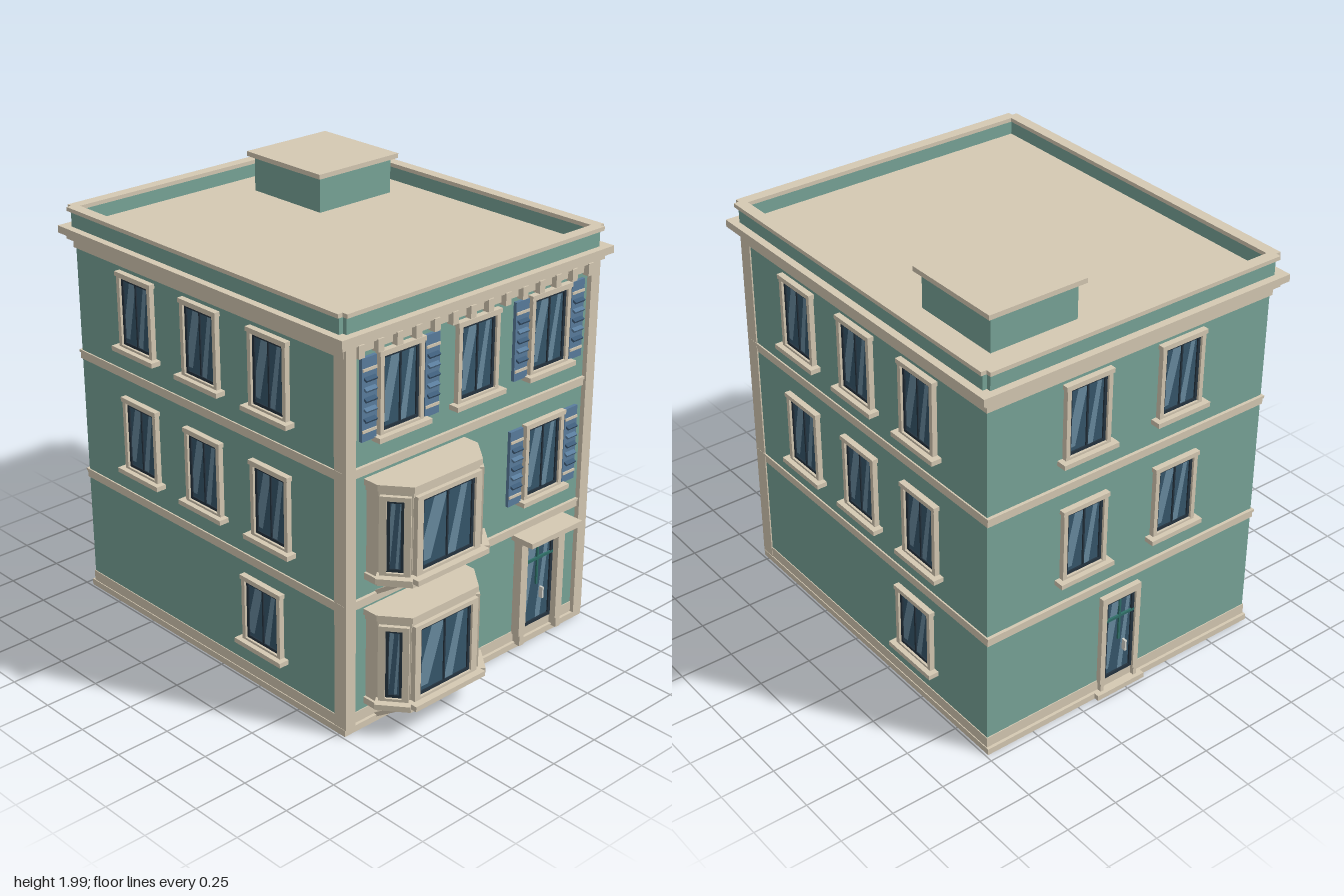
import * as THREE from 'three';

const mat = (c, side = THREE.FrontSide) => new THREE.MeshStandardMaterial({ color: c, side });
const teal = mat(0x78a598), trim = mat(0xd5c9b3), dark = mat(0x24333f), glass = mat(0x36566b),
  shine = mat(0x67899e, THREE.DoubleSide), blue = mat(0x5a7d9d), slate = mat(0x3f5d7a),
  doorGreen = mat(0x2f6f68), metal = mat(0xd8d8d0);
const CZ = -0.09, FRONT = 0.77, BACK = -0.95, SIDE = 0.735;

function add(parent, name, geo, m) {
  const mesh = new THREE.Mesh(geo, m);
  mesh.name = name;
  parent.add(mesh);
  return mesh;
}

// box given by its ranges on each axis
function box(parent, name, m, x0, x1, y0, y1, z0, z1) {
  const b = add(parent, name, new THREE.BoxGeometry(x1 - x0, y1 - y0, z1 - z0), m);
  b.position.set((x0 + x1) / 2, (y0 + y1) / 2, (z0 + z1) / 2);
  return b;
}

// horizontal slab from a plan outline of [x, z] points
function slab(parent, name, m, pts, y0, y1, hole) {
  const v = p => p.map(([x, z]) => new THREE.Vector2(x, -z));
  const s = new THREE.Shape(v(pts));
  if (hole) s.holes.push(new THREE.Path(v(hole)));
  const g = new THREE.ExtrudeGeometry(s, { depth: y1 - y0, bevelEnabled: false });
  g.rotateX(-Math.PI / 2).translate(0, y0, 0);
  return add(parent, name, g, m);
}

// rectangle in plan with small notches cut from its corners
function plan(hx, hz, n = 0) {
  if (!n) return [[-hx, CZ + hz], [hx, CZ + hz], [hx, CZ - hz], [-hx, CZ - hz]];
  return [[-1, 1], [1, 1], [1, -1], [-1, -1]].flatMap(([a, b]) => {
    const c = [[a * (hx - n), CZ + b * hz], [a * (hx - n), CZ + b * (hz - n)], [a * hx, CZ + b * (hz - n)]];
    return a * b > 0 ? c : c.reverse();
  });
}

// upright frame with a rectangular opening w x h, bottom at y = 0
function frame(parent, name, m, w, h, side, top, bottom, depth) {
  const a = w / 2 + side, s = new THREE.Shape();
  s.moveTo(-a, -bottom).lineTo(a, -bottom).lineTo(a, h + top).lineTo(-a, h + top).closePath();
  const o = new THREE.Path();
  o.moveTo(-w / 2, 0).lineTo(-w / 2, h).lineTo(w / 2, h).lineTo(w / 2, 0).closePath();
  s.holes.push(o);
  return add(parent, name, new THREE.ExtrudeGeometry(s, { depth, bevelEnabled: false }), m);
}

// glass pane with slanted light streaks
function pane(g, w, h) {
  box(g, 'glass', glass, -w / 2, w / 2, 0, h, 0, 0.006);
  const streaks = [[[.27, 1], [.47, 1], [.47, .88], [.2, .1], [.04, .1], [.04, .36]],
    [[.76, .96], [.88, .96], [.68, .04], [.53, .04], [.53, .12]]];
  for (const pts of streaks) {
    const s = new THREE.Shape(pts.map(([u, v]) => new THREE.Vector2((u - .5) * w, v * h)));
    add(g, 'reflection', new THREE.ShapeGeometry(s), shine).position.z = 0.0075;
  }
}

// window with local origin at the bottom centre of the glass, facing +z
function makeWindow(parent, x, y, z, ry, w, h, opt = {}) {
  const g = new THREE.Group();
  g.name = opt.name || 'window';
  g.position.set(x, y, z);
  g.rotation.y = ry;
  parent.add(g);
  pane(g, w, h);
  const sash = frame(g, 'sash', dark, w - 0.026, h - 0.026, 0.013, 0.013, 0.013, 0.013);
  sash.position.y = 0.013;
  if (!opt.narrow) box(g, 'mullion', dark, -0.004, 0.004, 0, h, 0, 0.012);
  const side = opt.side ?? 0.02;
  frame(g, 'windowFrame', trim, w, h, side, 0.02, 0.012, 0.024);
  const a = w / 2 + side;
  if (!opt.bay) {
    box(g, 'headTrim', trim, -a - 0.006, a + 0.006, h + 0.005, h + 0.025, 0, 0.028);
    box(g, 'sill', trim, -a - 0.025, a + 0.025, -0.032, -0.01, -0.01, 0.048);
  }
  if (opt.shutters) for (const s of [-1, 1]) {
    const sh = new THREE.Group();
    sh.name = 'shutter';
    sh.position.x = s * (w / 2 + 0.073);
    g.add(sh);
    box(sh, 'shutterPanel', blue, -0.04, 0.04, -0.015, h + 0.018, 0, 0.016);
    for (const v of [0.09, 0.9]) box(sh, 'shutterStrap', trim, -0.038, 0.038, v * h - 0.006, v * h + 0.006, 0, 0.021);
    for (let i = 0; i < 5; i++) {
      const yy = h * (0.24 + i * 0.135);
      box(sh, 'slat', i % 2 ? blue : slate, -0.03, 0.03, yy - 0.005, yy + 0.005, 0.01, 0.032).rotation.x = 0.5;
    }
  }
  return g;
}

// glazed door with jambs, transom and handle
function makeDoor(parent, name, x, z, ry, w, h, jamb, depth) {
  const g = new THREE.Group();
  g.name = name;
  g.position.set(x, 0.08, z);
  g.rotation.y = ry;
  parent.add(g);
  pane(g, w, h);
  const leaf = frame(g, 'doorLeaf', dark, w - 0.03, h - 0.03, 0.015, 0.015, 0.015, 0.014);
  leaf.position.y = 0.015;
  box(g, 'transomBar', doorGreen, -w / 2, w / 2, h * 0.74, h * 0.74 + 0.012, 0, 0.016);
  box(g, 'doorMullion', doorGreen, -0.005, 0.005, h * 0.45, h, 0, 0.015);
  box(g, 'handle', metal, 0.025, 0.035, 0.115, 0.17, 0.006, 0.028);
  for (const s of [-1, 1]) {
    const c = s * (w + jamb) / 2;
    box(g, 'jamb', trim, c - jamb / 2, c + jamb / 2, -0.01, h, 0, depth);
    box(g, 'jambFoot', trim, c - jamb / 3, c + jamb / 3, -0.06, -0.01, 0, depth);
  }
  box(g, 'lintel', trim, -w / 2 - jamb, w / 2 + jamb, h, h + 0.035, 0, depth);
  return g;
}

// projecting three-sided bay window; y is the underside of its base
function makeBay(parent, y) {
  const g = new THREE.Group();
  g.name = 'bayWindow';
  g.position.set(-0.335, y, 0);
  parent.add(g);
  const out = o => [[-0.27 - o, 0.76], [-0.27 - o, 0.838 + o * 0.4], [-0.185 - o * 0.5, 0.945 + o],
    [0.185 + o * 0.5, 0.945 + o], [0.27 + o, 0.838 + o * 0.4], [0.27 + o, 0.76]];
  slab(g, 'bayBody', trim, out(0), 0.02, 0.42);
  slab(g, 'bayBase', trim, out(0.012), 0, 0.03);
  slab(g, 'bayMoulding', trim, out(0.005), 0.4, 0.425);
  slab(g, 'bayRoof', trim, out(0.015), 0.425, 0.452);
  makeWindow(g, 0, 0.067, 0.945, 0, 0.3, 0.32, { bay: true, side: 0.033, name: 'bayFrontWindow' });
  box(g, 'baySill', trim, -0.205, 0.205, 0.03, 0.054, 0.93, 1);
  const ang = Math.atan2(0.107, 0.085);
  for (const s of [-1, 1]) {
    const w = makeWindow(g, s * 0.2275, 0.067, 0.8915, s * ang, 0.07, 0.32,
      { bay: true, narrow: true, side: 0.028, name: 'baySideWindow' });
    box(w, 'baySill', trim, -0.075, 0.075, -0.037, -0.013, -0.01, 0.055);
    // slanted bracket beneath
    const b = add(g, 'bracket', new THREE.BoxGeometry(0.018, 0.018, 0.15), trim);
    b.position.set(s * 0.215, -0.038, 0.838);
    b.rotation.x = -0.59;
  }
}

export function createModel() {
  const root = new THREE.Group();
  root.name = 'townhouse';

  // walls and horizontal bands
  slab(root, 'walls', teal, plan(SIDE - 0.004, 0.857), 0.01, 1.78);
  slab(root, 'plinth', trim, plan(SIDE, 0.861), 0.02, 0.08);
  slab(root, 'baseTrim', trim, plan(SIDE + 0.004, 0.875), 0, 0.03);
  for (const y of [0.572, 1.163]) {
    slab(root, 'floorBand', trim, plan(SIDE, 0.866), y, y + 0.03);
    slab(root, 'floorBandLip', trim, plan(SIDE + 0.003, 0.872), y + 0.03, y + 0.042);
  }
  for (const s of [-1, 1])
    box(root, 'cornerPilaster', trim, s * 0.71 - 0.027, s * 0.71 + 0.027, 0.03, 1.74, 0.72, 0.79);

  // cornice with dentils
  slab(root, 'frieze', trim, plan(SIDE + 0.004, 0.866), 1.69, 1.75);
  slab(root, 'lowerCornice', trim, plan(0.76, 0.885), 1.73, 1.757);
  slab(root, 'cornice', trim, plan(0.785, 0.91), 1.757, 1.79);
  for (let i = 0; i < 14; i++) {
    const x = -0.665 + i * 0.1023;
    box(root, 'dentil', trim, x - 0.016, x + 0.016, 1.68, 1.735, 0.76, 0.802);
  }

  // parapet, roof deck and roof hatch
  slab(root, 'parapet', teal, plan(0.75, 0.875, 0.02), 1.785, 1.865, plan(0.715, 0.84));
  slab(root, 'parapetCap', trim, plan(0.765, 0.89, 0.025), 1.862, 1.88, plan(0.712, 0.837));
  slab(root, 'roofDeck', trim, plan(0.73, 0.855), 1.78, 1.8);
  box(root, 'roofHatch', teal, 0.145, 0.575, 1.79, 1.965, -0.765, -0.325);
  box(root, 'roofHatchCap', trim, 0.12, 0.6, 1.963, 1.985, -0.79, -0.3);

  // front windows
  for (const x of [-0.435, 0, 0.435])
    makeWindow(root, x, 1.33, FRONT - 0.002, 0, 0.2, 0.32, { shutters: x !== 0 });
  makeWindow(root, 0.43, 0.745, FRONT - 0.002, 0, 0.2, 0.32, { shutters: true });
  makeBay(root, 0.105);
  makeBay(root, 0.693);

  // side and back windows
  for (const s of [-1, 1]) {
    const x = s * (SIDE - 0.003), r = s * Math.PI / 2;
    for (const y of [0.75, 1.337])
      for (const z of [0.345, -0.085, -0.515]) makeWindow(root, x, y, z, r, 0.19, 0.308);
    makeWindow(root, x, 0.217, s > 0 ? -0.46 : 0.28, r, 0.205, 0.275);
    for (const y of [0.75, 1.337]) makeWindow(root, s * 0.245, y, BACK + 0.003, Math.PI, 0.19, 0.308);
  }

  // doors
  makeDoor(root, 'frontDoor', 0.43, FRONT - 0.003, 0, 0.2, 0.43, 0.042, 0.045);
  box(root, 'doorCanopy', trim, 0.265, 0.59, 0.55, 0.575, 0.76, 0.89);
  box(root, 'doorCanopyMoulding', trim, 0.285, 0.572, 0.535, 0.552, 0.76, 0.85);
  makeDoor(root, 'backDoor', 0.03, BACK + 0.003, Math.PI, 0.16, 0.415, 0.026, 0.025);
  box(root, 'backStep', trim, -0.1, 0.16, 0.005, 0.03, -0.99, -0.94);
  return root;
}
